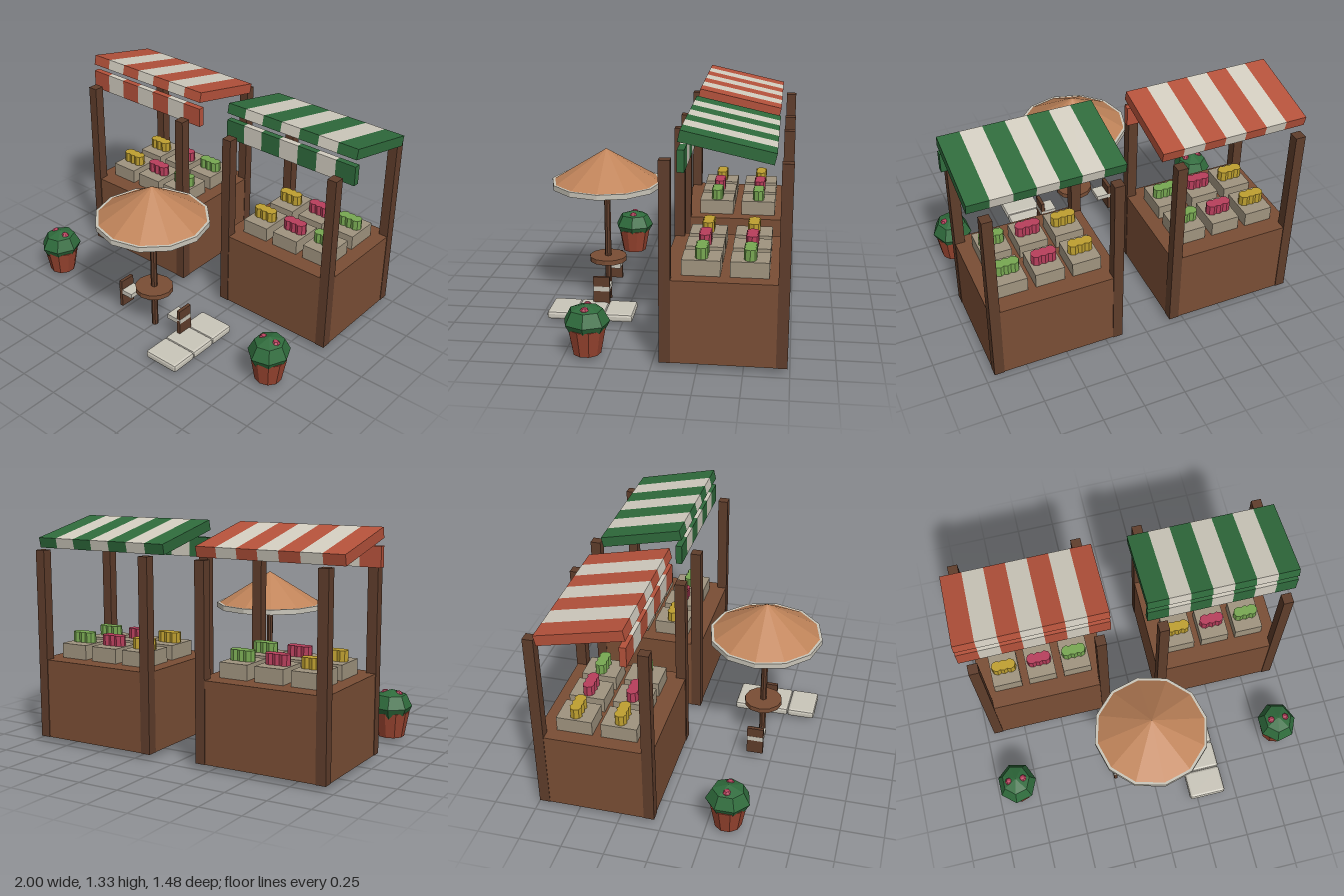
import * as THREE from 'three';
import { RoundedBoxGeometry } from 'three/addons/geometries/RoundedBoxGeometry.js';

const mat = (color) => new THREE.MeshStandardMaterial({ color, flatShading: true });
const M = {
  body: mat(0x7a4e35), post: mat(0x5f3d2b), cloth: mat(0xd2cdc0), red: mat(0xb5523b),
  green: mat(0x2f6b3c), crate: mat(0xa0947f), yellow: mat(0xbfa030), pink: mat(0xb83f5c),
  lime: mat(0x78a852), straw: mat(0xc0845a), stone: mat(0xcac6ba), clay: mat(0x9a4530),
};

function add(parent, name, geometry, material, x, y, z) {
  const mesh = new THREE.Mesh(geometry, material);
  mesh.name = name;
  mesh.position.set(x, y, z);
  parent.add(mesh);
  return mesh;
}
const box = (w, h, d) => new THREE.BoxGeometry(w, h, d);
const cyl = (top, bottom, h, sides) => new THREE.CylinderGeometry(top, bottom, h, sides);

function group(parent, name, x, y, z) {
  const g = new THREE.Group();
  g.name = name;
  g.position.set(x, y, z);
  parent.add(g);
  return g;
}

// Market stall: counter, four posts, striped awning and crates of produce
function makeStall(parent, name, x, stripeColor) {
  const stall = group(parent, name, x, 0, -0.39);
  add(stall, 'counter', box(0.79, 0.475, 0.685), M.body, 0, 0.2675, 0);
  for (const sx of [-1, 1]) {
    for (const sz of [-1, 1]) {
      add(stall, 'post', box(0.06, 1.13, 0.062), M.post, sx * 0.368, 0.595, sz * 0.316);
    }
  }

  // Awning slopes down to the back, with a hanging valance in front
  const awning = group(stall, 'awning', 0, 1.248, -0.009);
  awning.rotation.x = -0.215;
  const stripe = 0.893 / 7;
  for (let i = 0; i < 7; i++) {
    const m = i % 2 ? M.cloth : stripeColor;
    const sx = (i - 3) * stripe;
    add(awning, 'awningStripe', box(stripe, 0.062, 0.502), m, sx, 0, 0);
    add(stall, 'valanceStripe', box(stripe, 0.118, 0.038), m, sx, 1.17, 0.225);
  }

  // Two rows of three crates, each with three pieces of produce
  [M.yellow, M.pink, M.lime].forEach((m, i) => {
    for (const z of [-0.131, 0.131]) {
      const crate = group(stall, 'produceCrate', (i - 1) * 0.221, 0.505, z);
      add(crate, 'crate', box(0.174, 0.088, 0.21), M.crate, 0, 0.044, 0);
      for (const k of [-1, 0, 1]) {
        add(crate, 'produce', cyl(0.035, 0.035, 0.064, 8), m, k * 0.041, 0.118, 0);
      }
    }
  });
}

// Parasol with its table
function makeParasol(parent) {
  const parasol = group(parent, 'parasolTable', 0, 0, 0.4);
  add(parasol, 'pole', cyl(0.02, 0.02, 0.76, 8), M.post, 0, 0.38, 0);
  add(parasol, 'tableTop', cyl(0.116, 0.116, 0.03, 12), M.body, 0, 0.271, 0);
  add(parasol, 'parasolRim', cyl(0.34, 0.34, 0.032, 12), M.stone, 0, 0.76, 0);
  add(parasol, 'parasolCanopy', new THREE.ConeGeometry(0.325, 0.2, 12), M.straw, 0, 0.875, 0);
}

// Small chair with its back away from the table
function makeChair(parent, side) {
  const chair = group(parent, 'chair', side * 0.2, 0, 0.4);
  add(chair, 'chairSeat', box(0.1, 0.03, 0.1), M.stone, 0, 0.155, 0);
  add(chair, 'chairBack', box(0.022, 0.182, 0.1), M.post, side * 0.038, 0.139, 0);
}

// Flower pot with a faceted bush
function makePlant(parent, x) {
  const plant = group(parent, 'pottedPlant', x, 0, 0.37);
  add(plant, 'pot', cyl(0.108, 0.08, 0.153, 10), M.clay, 0, 0.1, 0);
  const bush = add(plant, 'bush', new THREE.SphereGeometry(0.122, 7, 4), M.green, 0, 0.207, 0);
  bush.rotation.y = Math.PI;
  bush.scale.set(1, 0.85, 1.08);
  for (const k of [-1, 0, 1]) {
    add(plant, 'flower', new THREE.SphereGeometry(0.026, 7, 5), M.pink, k * 0.043, 0.281, 0);
  }
}

export function createModel() {
  const model = new THREE.Group();
  model.name = 'marketSquare';
  makeStall(model, 'redStall', -0.5535, M.red);
  makeStall(model, 'greenStall', 0.5535, M.green);
  makeParasol(model);
  makeChair(model, -1);
  makeChair(model, 1);
  makePlant(model, -0.863);
  makePlant(model, 0.853);

  // Row of chamfered paving slabs
  for (let i = 0; i < 3; i++) {
    add(model, 'pavingSlab', new RoundedBoxGeometry(0.23, 0.05, 0.172, 1, 0.016), M.stone,
      0.315, 0.044, 0.27 + i * 0.171);
  }
  return model;
}
